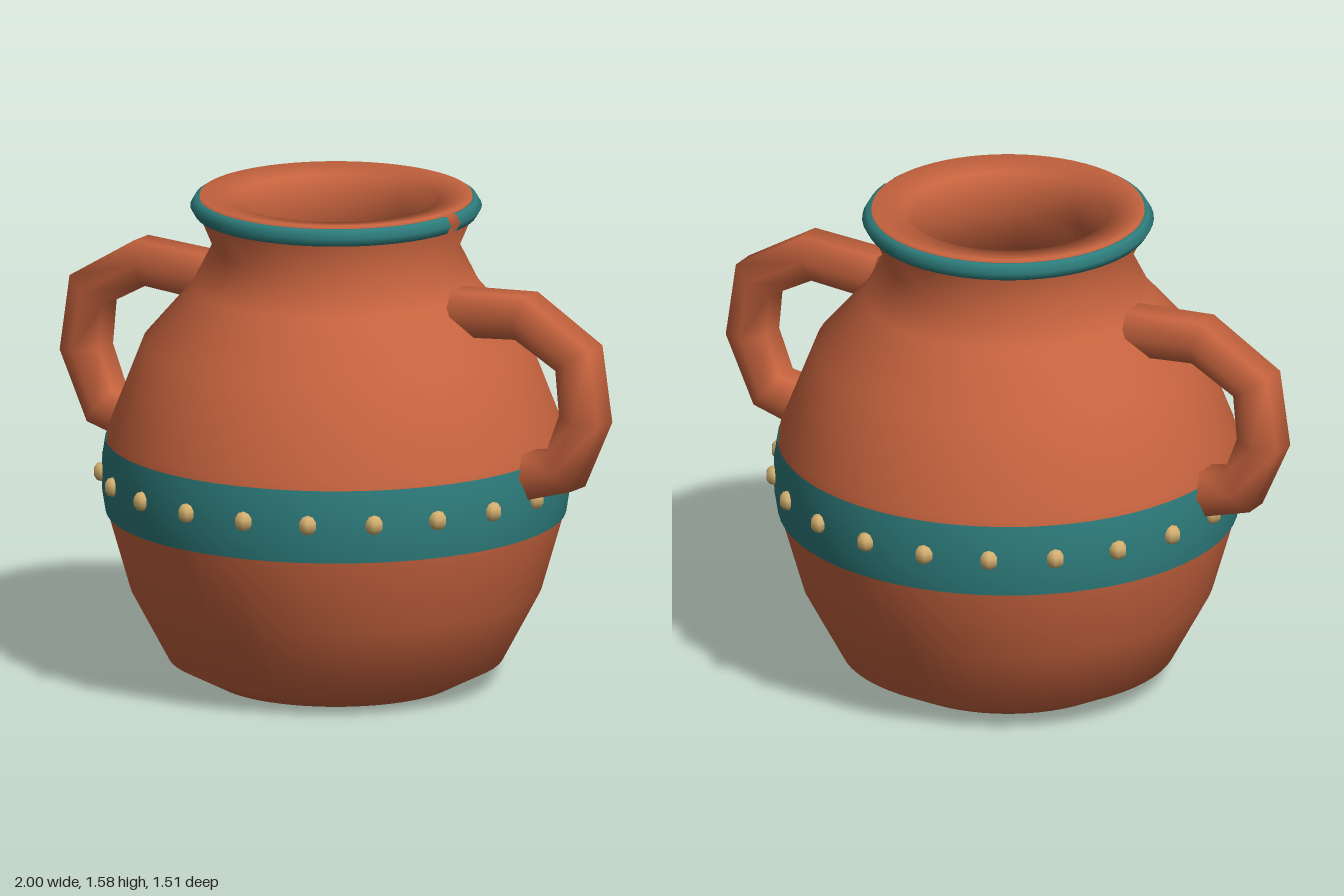
import * as THREE from 'three';

const terracotta = new THREE.MeshStandardMaterial({ color: 0xc8643f });
terracotta.name = 'terracotta';
const terracottaOpen = terracotta; // one clay colour for body and handles
terracottaOpen.side = THREE.DoubleSide;
const teal = new THREE.MeshStandardMaterial({ color: 0x2e7d7d });
teal.name = 'teal glaze';
teal.side = THREE.DoubleSide;
const gold = new THREE.MeshStandardMaterial({ color: 0xd4b070 });
gold.name = 'pale gold';

function add(parent, name, geometry, material) {
  const mesh = new THREE.Mesh(geometry, material);
  mesh.name = name;
  parent.add(mesh);
  return mesh;
}

const lathe = (pts) =>
  new THREE.LatheGeometry(pts.map(([r, y]) => new THREE.Vector2(r, y)), 64);

// Six-sided bent tube; the rings fall exactly on the control points
function handleGeometry(side) {
  const path = [[0.455, 1.25], [0.705, 1.268], [0.9, 1.155], [0.925, 0.96], [0.85, 0.785], [0.715, 0.752]];
  const curve = new THREE.CatmullRomCurve3(path.map(([x, y]) => new THREE.Vector3(side * x, y, 0)));
  curve.getUtoTmapping = (u) => u;
  return new THREE.TubeGeometry(curve, path.length - 1, 0.085, 6, false);
}

export function createModel() {
  const jar = new THREE.Group();
  jar.name = 'jar';

  // Hollow body: outside from base to lip, then down the inside
  add(jar, 'body', lathe([
    [0, 0], [0.385, 0], [0.53, 0.075], [0.65, 0.3], [0.722, 0.55], [0.73, 0.68], [0.722, 0.81],
    [0.61, 1.1], [0.455, 1.28], [0.39, 1.41], [0.44, 1.53], [0.43, 1.575],
    [0.32, 1.56], [0.312, 1.42], [0.37, 1.28], [0.53, 1.08], [0.64, 0.8], [0.64, 0.55],
    [0.57, 0.3], [0.45, 0.13], [0.3, 0.08], [0, 0.07],
  ]), terracotta);

  // Glazed belt around the belly
  add(jar, 'belt', lathe([[0.728, 0.55], [0.739, 0.62], [0.739, 0.72], [0.729, 0.785]]), teal);

  // Rim ring with a small gap on the left side
  const rim = add(jar, 'rimRing', new THREE.TorusGeometry(0.43, 0.031, 6, 56, 6.17), teal);
  rim.rotation.x = -Math.PI / 2;
  rim.position.y = 1.538;

  // Studs around the belt
  const studs = new THREE.Group();
  studs.name = 'studs';
  jar.add(studs);
  const studGeometry = new THREE.SphereGeometry(0.032, 6, 5);
  const count = 22;
  for (let i = 0; i < count; i++) {
    const a = (i / count) * Math.PI * 2;
    const stud = add(studs, 'stud', studGeometry, gold);
    stud.position.set(Math.cos(a) * 0.738, 0.675, Math.sin(a) * 0.738);
  }

  // Pair of side handles
  add(jar, 'leftHandle', handleGeometry(1), terracottaOpen);
  add(jar, 'rightHandle', handleGeometry(-1), terracottaOpen);

  return jar;
}
